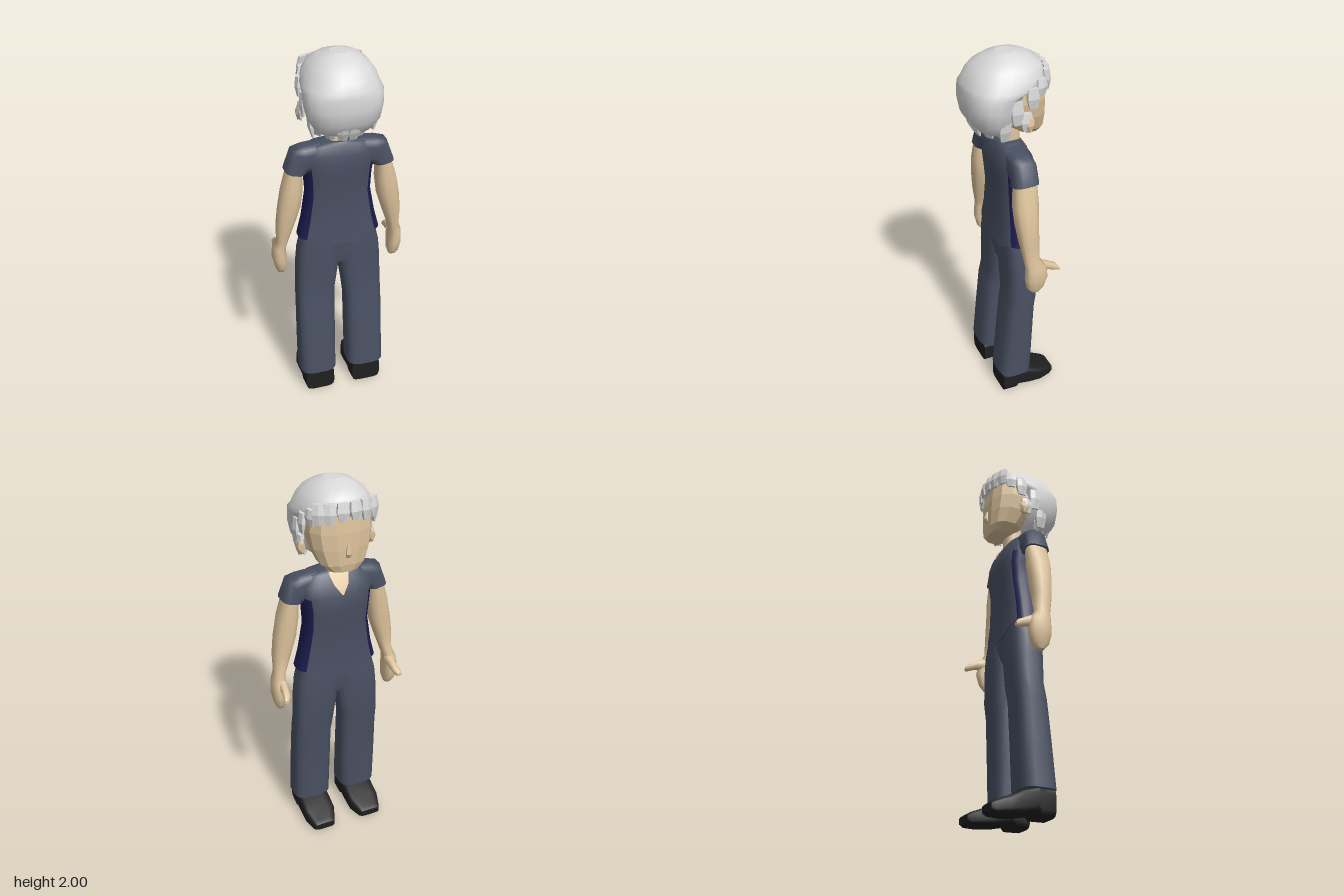
import * as THREE from 'three';

const mat = (name, color, extra = {}) => {
  const m = new THREE.MeshStandardMaterial({ color, ...extra });
  m.name = name;
  return m;
};

// Rounded-box ring: centre c, half-axes u and v, n points, exponent p (1 = ellipse)
function ring(c, u, v, n = 12, p = 0.65) {
  const pw = (t) => (Math.abs(t) < 1e-6 ? 0 : Math.sign(t) * Math.abs(t) ** p);
  return Array.from({ length: n }, (_, j) => {
    const a = ((j + 0.5) / n) * Math.PI * 2, s = pw(Math.cos(a)), t = pw(Math.sin(a));
    return c.map((k, i) => k + u[i] * s + v[i] * t);
  });
}
// Horizontal ring from bounds
const level = (y, x0, x1, z0, z1, n, p) =>
  ring([(x0 + x1) / 2, y, (z0 + z1) / 2], [(x1 - x0) / 2, 0, 0], [0, 0, (z1 - z0) / 2], n, p);
// Upright ring from bounds
const upright = (z, x0, x1, y0, y1, n, p) =>
  ring([(x0 + x1) / 2, (y0 + y1) / 2, z], [(x1 - x0) / 2, 0, 0], [0, (y1 - y0) / 2, 0], n, p);
// Ring spanning an outer and an inner point in the x-y plane
const span = (o, i, z0, z1, n, p) =>
  ring([(o[0] + i[0]) / 2, (o[1] + i[1]) / 2, (z0 + z1) / 2],
    [(o[0] - i[0]) / 2, (o[1] - i[1]) / 2, 0], [0, 0, (z1 - z0) / 2], n, p);

// Skin a list of rings, cap both ends and turn the faces outward
function loft(rings, pick = () => 0) {
  const n = rings[0].length, pos = rings.flat(2), faces = [[], []];
  const last = rings.length - 1;
  for (let i = 0; i < last; i++) for (let j = 0; j < n; j++) {
    const a = i * n + j, b = i * n + (j + 1) % n, c = b + n, d = a + n;
    faces[pick(i, j, n)].push([a, d, b], [b, d, c]);
  }
  for (const e of [0, last]) {
    const r = rings[e], start = pos.length / 3;
    pos.push(...r.flat(), ...[0, 1, 2].map((k) => r.reduce((s, q) => s + q[k], 0) / n));
    for (let j = 0; j < n; j++) {
      const a = start + j, b = start + (j + 1) % n;
      faces[0].push(e ? [a, start + n, b] : [a, b, start + n]);
    }
  }
  const at = (i) => new THREE.Vector3().fromArray(pos, i * 3);
  let volume = 0;
  for (const f of faces.flat()) volume += at(f[0]).dot(at(f[1]).cross(at(f[2])));
  if (volume < 0) faces.flat().forEach((f) => f.reverse());
  const g = new THREE.BufferGeometry();
  g.setAttribute('position', new THREE.Float32BufferAttribute(pos, 3));
  g.setIndex(faces.flat(2));
  g.addGroup(0, faces[0].length * 3, 0);
  if (faces[1].length) g.addGroup(faces[0].length * 3, faces[1].length * 3, 1);
  g.computeVertexNormals();
  return g;
}
const flat = (g) => {
  const f = g.toNonIndexed();
  f.computeVertexNormals();
  return f;
};
const mirror = (rings, s) => rings.map((r) => r.map(([x, y, z]) => [x * s, y, z]));

export function createModel() {
  const root = new THREE.Group();
  const cloth = mat('slate cloth', 0x495062), navy = mat('navy panel', 0x1b1b4e);
  const skin = mat('skin', 0xdcc29b), hair = mat('silver hair', 0xd8d8d8);
  const leather = mat('black leather', 0x202020);
  const skinSheet = mat('neckline skin', 0xdcc29b, { side: THREE.DoubleSide });
  const add = (name, geo, m) => {
    const mesh = new THREE.Mesh(geo, m);
    mesh.name = name;
    root.add(mesh);
    return mesh;
  };

  // Shirt body: pointed hem, navy side panels
  const torso = [
    [1.0, 0.222, -0.112, 0.075], [1.1, 0.198, -0.106, 0.066], [1.25, 0.172, -0.115, 0.065],
    [1.35, 0.177, -0.13, 0.075], [1.42, 0.186, -0.125, 0.08], [1.48, 0.19, -0.105, 0.075],
    [1.53, 0.15, -0.075, 0.06], [1.545, 0.07, -0.055, 0.045],
  ].map(([y, x, z0, z1]) => level(y, -x, x, z0, z1, 32, 0.7));
  torso[0].forEach((q) => {
    const x = Math.abs(q[0]);
    const point = q[2] > 0 ? 1 - Math.abs(x - 0.08) / 0.09 : 1 - Math.abs(x - 0.04) / 0.14;
    q[1] = 1.005 - 0.062 * Math.max(0, point);
  });
  add('shirt', loft(torso, (i, j, n) => {
    const c = Math.abs(Math.cos(((j + 1) / n) * Math.PI * 2));
    return i < 4 && c > 0.8 ? 1 : 0;
  }), [cloth, navy]);

  // Neck and open neckline
  add('neck', loft([
    level(1.48, -0.06, 0.06, -0.08, 0.04), level(1.55, -0.052, 0.052, -0.075, 0.028),
    level(1.68, -0.05, 0.05, -0.08, 0.025),
  ]), skin);
  const neckline = new THREE.PlaneGeometry(1, 1, 1, 2);
  const rows = [[1.542, 0.055, -0.07], [1.485, 0.038, -0.109], [1.435, 0.004, -0.13]];
  for (let i = 0; i < 6; i++) {
    const [y, w, z] = rows[i >> 1];
    neckline.attributes.position.setXYZ(i, i % 2 ? -w : w, y, z);
  }
  neckline.computeVertexNormals();
  add('neckline', neckline, skinSheet);

  // Seat of the trousers
  add('trouserSeat', loft([
    level(0.83, -0.1, 0.1, -0.08, 0.045, 16), level(0.9, -0.2, 0.2, -0.098, 0.056, 16),
    level(1.03, -0.2, 0.2, -0.096, 0.056, 16),
  ]), cloth);

  for (const s of [1, -1]) {
    const side = s > 0 ? 'left' : 'right';
    const pair = (name, rings, m) => add(side + name, loft(mirror(rings, s)), m);

    // Trouser leg
    pair('TrouserLeg', [
      [0.13, 0.035, 0.245, -0.07, 0.115], [0.35, 0.032, 0.244, -0.078, 0.095],
      [0.58, 0.03, 0.24, -0.088, 0.073], [0.66, 0.023, 0.238, -0.1, 0.058],
      [0.82, 0.0, 0.232, -0.106, 0.06], [0.92, 0.0, 0.222, -0.104, 0.06],
      [1.03, 0.0, 0.195, -0.096, 0.058],
    ].map((r) => level(...r, 16, 0.6)), cloth);

    // Shoe with raised arch
    pair('Shoe', [
      [0.1, 0.055, 0.22, 0, 0.14], [0.025, 0.05, 0.226, 0, 0.14], [0.01, 0.05, 0.226, 0.02, 0.14],
      [-0.06, 0.05, 0.226, 0.005, 0.122], [-0.13, 0.05, 0.226, 0, 0.09],
      [-0.2, 0.075, 0.205, 0, 0.063], [-0.22, 0.085, 0.195, 0.012, 0.05],
    ].map((r) => upright(...r, 16, 0.4)), leather);

    // Sleeve
    pair('Sleeve', [
      span([0.1, 1.543], [0.12, 1.4], -0.07, 0.055), span([0.19, 1.535], [0.165, 1.39], -0.07, 0.06),
      span([0.246, 1.52], [0.175, 1.385], -0.068, 0.062), span([0.285, 1.41], [0.187, 1.388], -0.068, 0.068),
    ], cloth);

    // Arm and hand
    pair('Arm', [
      [0.79, 0.335, 0.295, -0.05, -0.005], [0.82, 0.347, 0.286, -0.075, 0.02],
      [0.88, 0.36, 0.285, -0.09, 0.032], [0.95, 0.356, 0.288, -0.08, 0.03],
      [1.0, 0.337, 0.275, -0.05, 0.035], [1.1, 0.337, 0.24, -0.052, 0.052],
      [1.2, 0.325, 0.208, -0.056, 0.064], [1.3, 0.306, 0.195, -0.062, 0.07],
      [1.43, 0.268, 0.195, -0.06, 0.06],
    ].map(([y, o, i, z0, z1]) => level(y, i, o, z0, z1, 12, 0.8)), skin);
    pair('Thumb', [
      upright(-0.04, 0.285, 0.335, 0.91, 0.985, 8, 0.9), upright(-0.1, 0.288, 0.33, 0.905, 0.955, 8, 0.9),
      upright(-0.145, 0.295, 0.335, 0.89, 0.93, 8, 0.9), upright(-0.16, 0.31, 0.335, 0.89, 0.91, 8, 0.9),
    ], skin);

    // Ear
    const ear = add(side + 'Ear', flat(new THREE.IcosahedronGeometry(1, 0).toNonIndexed().clone().setIndex(
      [...Array(60).keys()])), skin);
    ear.scale.set(0.022, 0.045, 0.03);
    ear.position.set(s * 0.185, 1.69, -0.045);
  }

  // Faceted face and nose
  add('face', flat(loft([
    [1.582, 0.075, -0.175, -0.06], [1.62, 0.12, -0.183, -0.01], [1.7, 0.152, -0.186, 0.05],
    [1.78, 0.165, -0.184, 0.08], [1.9, 0.155, -0.172, 0.08],
  ].map(([y, x, z0, z1]) => level(y, -x, x, z0, z1, 12, 0.75)))), skin);
  add('nose', flat(loft([
    level(1.66, -0.014, 0.014, -0.19, -0.17, 6, 1), level(1.68, -0.015, 0.015, -0.203, -0.17, 6, 1),
    level(1.73, -0.006, 0.006, -0.188, -0.175, 6, 1),
  ])), skin);

  // Hair: back half below the brow, full cap above
  add('hair', loft([
    [1.605, 0.09, 0.01, 0.1], [1.64, 0.14, -0.01, 0.165], [1.7, 0.178, -0.03, 0.207],
    [1.77, 0.194, -0.05, 0.219], [1.835, 0.196, -0.075, 0.217], [1.86, 0.19, -0.175, 0.21],
    [1.9, 0.177, -0.188, 0.193], [1.945, 0.146, -0.172, 0.158], [1.98, 0.1, -0.115, 0.1],
    [2.0, 0.045, -0.04, 0.045],
  ].map(([y, x, z0, z1]) => level(y, -x, x, z0, z1, 20, 0.85))), hair);

  // Locks: x, z, top, bottom, half width, heading, outward lean
  const lock = (name, x, z, top, bottom, w, turn, lean) => {
    const h = top - bottom;
    const mesh = add(name, flat(loft([
      level(-h, -w * 0.6, w * 0.75, lean - 0.006, lean + 0.006, 6, 0.8),
      level(-h * 0.5, -w, w, lean * 0.6 - 0.016, lean * 0.6 + 0.016, 6, 0.8),
      level(0, -w * 0.8, w * 0.8, -0.02, 0.008, 6, 0.8),
    ])), hair);
    mesh.position.set(x, top, z);
    mesh.rotation.y = turn;
  };
  for (const x of [-0.138, -0.09, -0.032, 0.032, 0.09, 0.138]) {
    const a = Math.abs(x);
    lock('fringeLock', x, -0.192 + a * a * 2, 1.935, 1.838 + (a < 0.05 ? 0.012 : 0), 0.034,
      Math.PI - x * 4, 0.006);
  }
  for (const x of [-0.15, -0.095, -0.032, 0.032, 0.095, 0.15]) {
    lock('napeLock', x, 0.19 - x * x * 5, 1.69, 1.605, 0.032, x * 6, -0.035);
  }
  for (const s of [1, -1]) {
    for (const [z, top, bottom] of [[-0.115, 1.9, 1.82], [-0.06, 1.87, 1.77], [-0.03, 1.75, 1.66],
      [0.02, 1.82, 1.7], [0.07, 1.72, 1.61]]) {
      lock('sideLock', s * (z < -0.1 ? 0.165 : top < 1.73 ? 0.172 : 0.186), z, top, bottom, 0.034,
        s * (Math.PI / 2 + (z < -0.1 ? 0.3 : 0)), top < 1.73 ? -0.02 : 0);
    }
  }
  return root;
}
